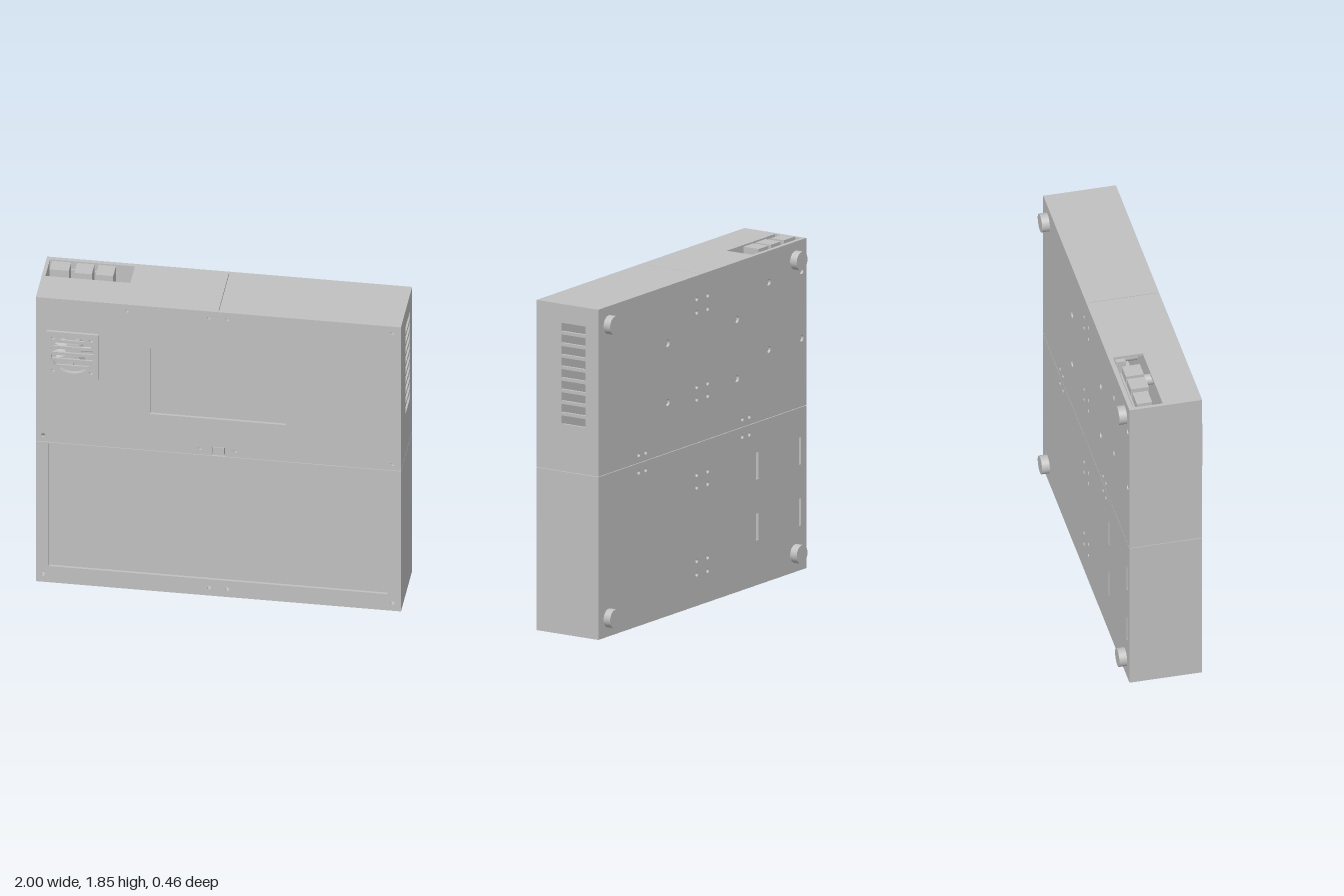
import * as THREE from 'three';

const grey = new THREE.MeshStandardMaterial({ color: 0xc0c0c0 });
grey.name = 'plain grey';

const H = 1.84, SEAM = 0.908, GAP = 0.0015;   // case height, split line, half the seam gap
const BACK = -0.19, FRONT = 0.215, T = 0.015; // case depth and wall thickness

// Closed paths for outlines and holes
const rect = (x0, y0, x1, y1, C = THREE.Path) =>
  new C([[x0, y0], [x1, y0], [x1, y1], [x0, y1]].map(p => new THREE.Vector2(...p)));
const disc = (x, y, r) => new THREE.Path().absarc(x, y, r, 0, Math.PI * 2, true);

export function createModel() {
  const model = new THREE.Group();
  const add = (name, geometry, x = 0, y = 0, z = 0, parent = model) => {
    const mesh = new THREE.Mesh(geometry, grey);
    mesh.name = name;
    mesh.position.set(x, y, z);
    parent.add(mesh);
    return mesh;
  };
  const group = name => {
    const g = new THREE.Group();
    g.name = name;
    model.add(g);
    return g;
  };
  const plate = (outline, holes, depth = T) => {
    outline.holes = holes;
    return new THREE.ExtrudeGeometry(outline, { depth, bevelEnabled: false, curveSegments: 10 });
  };
  const box = (name, x0, x1, y0, y1, z0, z1, parent = model) =>
    add(name, new THREE.BoxGeometry(x1 - x0, y1 - y0, z1 - z0),
      (x0 + x1) / 2, (y0 + y1) / 2, (z0 + z1) / 2, parent);
  // Cylinder lying along z
  const rod = (name, x, y, z0, z1, r, parent = model) =>
    add(name, new THREE.CylinderGeometry(r, r, z1 - z0, 32).rotateX(Math.PI / 2),
      x, y, (z0 + z1) / 2, parent);

  // Front panels with screw holes
  const screws = pts => pts.map(([x, y]) => disc(x, y, 0.012));
  const upper = rect(-1, SEAM + GAP, 1, H, THREE.Shape);
  const upperShape = new THREE.Shape([
    [-1, SEAM + GAP], [-0.035, SEAM + GAP], [-0.035, 0.965], [0.035, 0.965],
    [0.035, SEAM + GAP], [1, SEAM + GAP], [1, H], [-1, H],
  ].map(p => new THREE.Vector2(...p)));
  add('upperFrontPanel', plate(upperShape, [
    rect(-0.375, 1.145, 0.37, 1.57), disc(-0.8, 1.49, 0.12),
    ...screws([[-0.5, 1.8], [-0.05, 1.8], [0.05, 1.8], [0.955, 1.8],
      [-0.96, 0.95], [-0.1, 0.95], [0.095, 0.95], [0.955, 0.95]]),
  ]), 0, 0, FRONT - T);
  add('lowerFrontPanel', plate(rect(-1, 0, 1, SEAM - GAP, THREE.Shape), [
    rect(-0.93, 0.105, 0.925, 0.9),
    ...screws([[-0.96, 0.05], [-0.05, 0.05], [0.05, 0.05], [0.955, 0.05]]),
  ]), 0, 0, FRONT - T);

  // Screen, recessed tray and latch behind the front openings
  box('screen', -0.4, 0.395, 1.12, 1.6, 0.17, FRONT - T);
  box('tray', -0.95, 0.945, 0.09, 0.904, 0.18, FRONT - T);
  box('trayInset', -0.92, 0.915, 0.112, 0.893, 0.19, 0.203);
  box('latch', -0.03, 0.03, 0.9, 0.955, 0.17, 0.205);

  // Back panels with screw holes, mounting holes and slots
  const backUpper = [], backLower = [];
  const four = (list, xs, ys) => xs.forEach(x => ys.forEach(y => list.push(disc(x, y, 0.012))));
  four(backUpper, [-0.053, 0.053], [1.71, 1.635, 1.22, 1.15]);
  four(backLower, [-0.053, 0.053], [0.73, 0.66, 0.25, 0.175]);
  const seamScrews = [0.61, 0.543, -0.386, -0.453];
  four(backUpper, seamScrews, [0.953]);
  four(backLower, seamScrews, [0.855]);
  for (const x of [-0.333, 0.333]) for (const y of [1.19, 1.52]) backUpper.push(disc(x, y, 0.02));
  for (const x of [-0.955, -0.64]) for (const y of [1.29, 1.665]) backUpper.push(disc(x, y, 0.018));
  for (const x of [-0.53, -0.94]) for (const y of [0.25, 0.59])
    backLower.push(rect(x - 0.011, y, x + 0.011, y + 0.15));
  add('upperBackPanel', plate(upper, backUpper), 0, 0, BACK);
  add('lowerBackPanel', plate(rect(-1, 0, 1, SEAM - GAP, THREE.Shape), backLower), 0, 0, BACK);

  // Side walls, vented on the upper left
  const z0 = BACK + T, z1 = FRONT - T;
  const vents = [];
  for (let i = 0; i < 9; i++) {
    const y = 1.172 + i * 0.0645;
    vents.push(rect(-0.105, y, 0.052, y + 0.047));
  }
  const side = (name, x, y0, y1, holes) =>
    add(name, plate(rect(z0, y0, z1, y1, THREE.Shape), holes).rotateY(-Math.PI / 2), x);
  side('upperLeftWall', 1, SEAM + GAP, H, vents);
  side('lowerLeftWall', 1, 0, SEAM - GAP, []);
  side('upperRightWall', -1 + T, SEAM + GAP, H, []);
  side('lowerRightWall', -1 + T, 0, SEAM - GAP, []);

  // Top and bottom walls, split in the middle; the top right has the port opening
  const flat = (name, x0, x1, y, holes) =>
    add(name, plate(rect(x0, z0, x1, z1, THREE.Shape), holes).rotateX(Math.PI / 2), 0, y);
  flat('topRightWall', -1 + T / 2, -GAP, H, [rect(-0.98, -0.165, -0.515, 0)]);
  flat('topLeftWall', GAP, 1 - T / 2, H, []);
  flat('bottomRightWall', -1 + T / 2, -GAP, T, []);
  flat('bottomLeftWall', GAP, 1 - T / 2, T, []);

  // Circuit board with its ports
  const board = group('circuitBoard');
  box('boardPlate', -0.98, -0.61, 1.24, 1.8, -0.15, -0.14, board);
  for (const [a, b, z] of [[-0.965, -0.86, -0.055], [-0.828, -0.732, -0.04], [-0.71, -0.615, -0.04]])
    box('port', a, b, 1.66, 1.848, -0.14, z, board);
  for (const x of [-0.955, -0.64]) for (const y of [1.29, 1.665])
    rod('boardSpacer', x, y, BACK + T, -0.15, 0.025, board);
  box('processor', -0.86, -0.745, 1.43, 1.55, -0.14, -0.11, board);

  // Screen standoffs and driver board
  for (const x of [-0.333, 0.333]) for (const y of [1.19, 1.52])
    rod('screenStandoff', x, y, BACK + T, 0.17, 0.03);
  box('driverBoard', -0.25, 0.25, 1.2, 1.6, -0.085, -0.03);

  // Fan guard: square frame, slats and screw holes
  const fan = group('fanGuard');
  const cx = -0.798, cy = 1.492, half = 0.142, r = 0.118;
  add('fanFrame', plate(rect(cx - half, cy - half, cx + half, cy + half, THREE.Shape), [
    disc(cx, cy, r),
    ...[-1, 1].flatMap(i => [-1, 1].map(j => disc(cx + i * 0.104, cy + j * 0.104, 0.012))),
  ]), 0, 0, FRONT, fan);
  for (let i = -2; i <= 2; i++) {
    const y = i * 0.04, w = Math.sqrt(r * r - y * y) + 0.002;
    box('fanSlat', cx - w, cx + w, cy + y - 0.009, cy + y + 0.009, FRONT, FRONT + 0.01, fan);
  }

  // Fan behind the guard
  rod('fanHub', cx, cy, 0.13, 0.19, 0.045, fan);
  for (let i = 0; i < 7; i++) {
    const blade = new THREE.BoxGeometry(0.075, 0.045, 0.006);
    blade.rotateX(0.5).translate(0.075, 0, 0.16).rotateZ(i / 7 * Math.PI * 2);
    add('fanBlade', blade, cx, cy, 0, fan);
  }

  // Round feet on the back
  for (const x of [-0.897, 0.897]) for (const y of [0.103, 1.738])
    rod('foot', x, y, -0.233, BACK, 0.052);

  // Centre the whole depth on z = 0
  const depth = new THREE.Box3().setFromObject(model);
  const shift = -(depth.min.z + depth.max.z) / 2;
  model.children.forEach(c => { c.position.z += shift; });
  return model;
}
